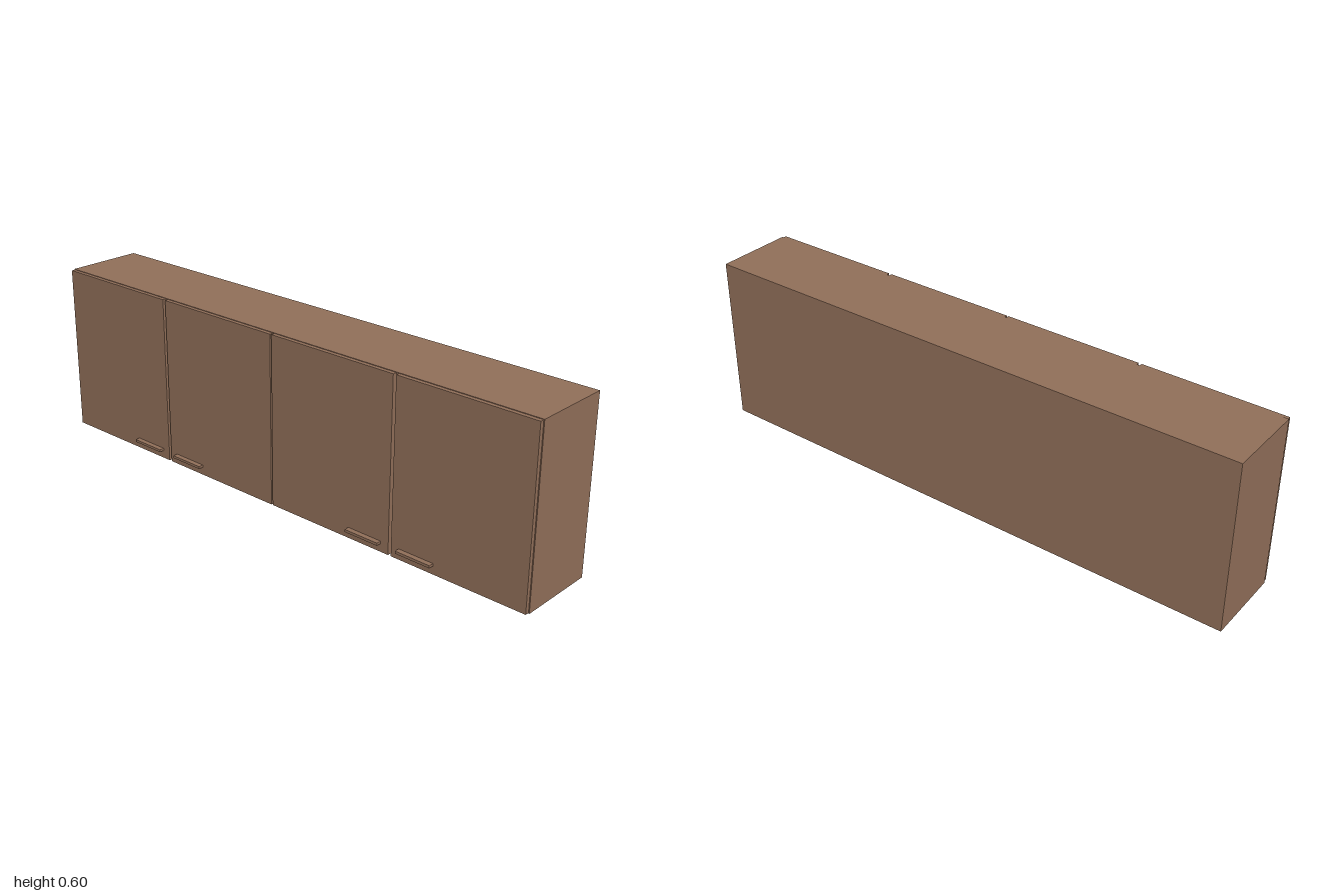
import * as THREE from 'three';

export function createModel() {
  const model = new THREE.Group();
  model.name = 'wallCabinet';
  const wood = new THREE.MeshStandardMaterial({ color: 0x92705a });
  wood.name = 'brown wood';

  // Box given by its lower and upper limits on each axis
  function box(name, [x0, x1], [y0, y1], [z0, z1]) {
    const mesh = new THREE.Mesh(new THREE.BoxGeometry(x1 - x0, y1 - y0, z1 - z0), wood);
    mesh.position.set((x0 + x1) / 2, (y0 + y1) / 2, (z0 + z1) / 2);
    mesh.name = name;
    model.add(mesh);
  }

  // Carcass
  box('carcass', [-1, 1], [0, 0.601], [-0.155, 0.123]);

  // Four doors, each with a bar handle near its lower inner corner, mirrored in pairs
  const doors = [
    { name: 'Inner', door: [0.003, 0.494], handle: [0.333, 0.464] },
    { name: 'Outer', door: [0.505, 0.997], handle: [0.535, 0.666] },
  ];
  for (const [sideName, side] of [['left', 1], ['right', -1]]) {
    const mirror = ([a, b]) => (side > 0 ? [a, b] : [-b, -a]);
    for (const { name, door, handle } of doors) {
      box(`${sideName}${name}Door`, mirror(door), [0.002, 0.599], [0.123, 0.137]);
      box(`${sideName}${name}Handle`, mirror(handle), [0.03, 0.039], [0.137, 0.155]);
    }
  }
  return model;
}
